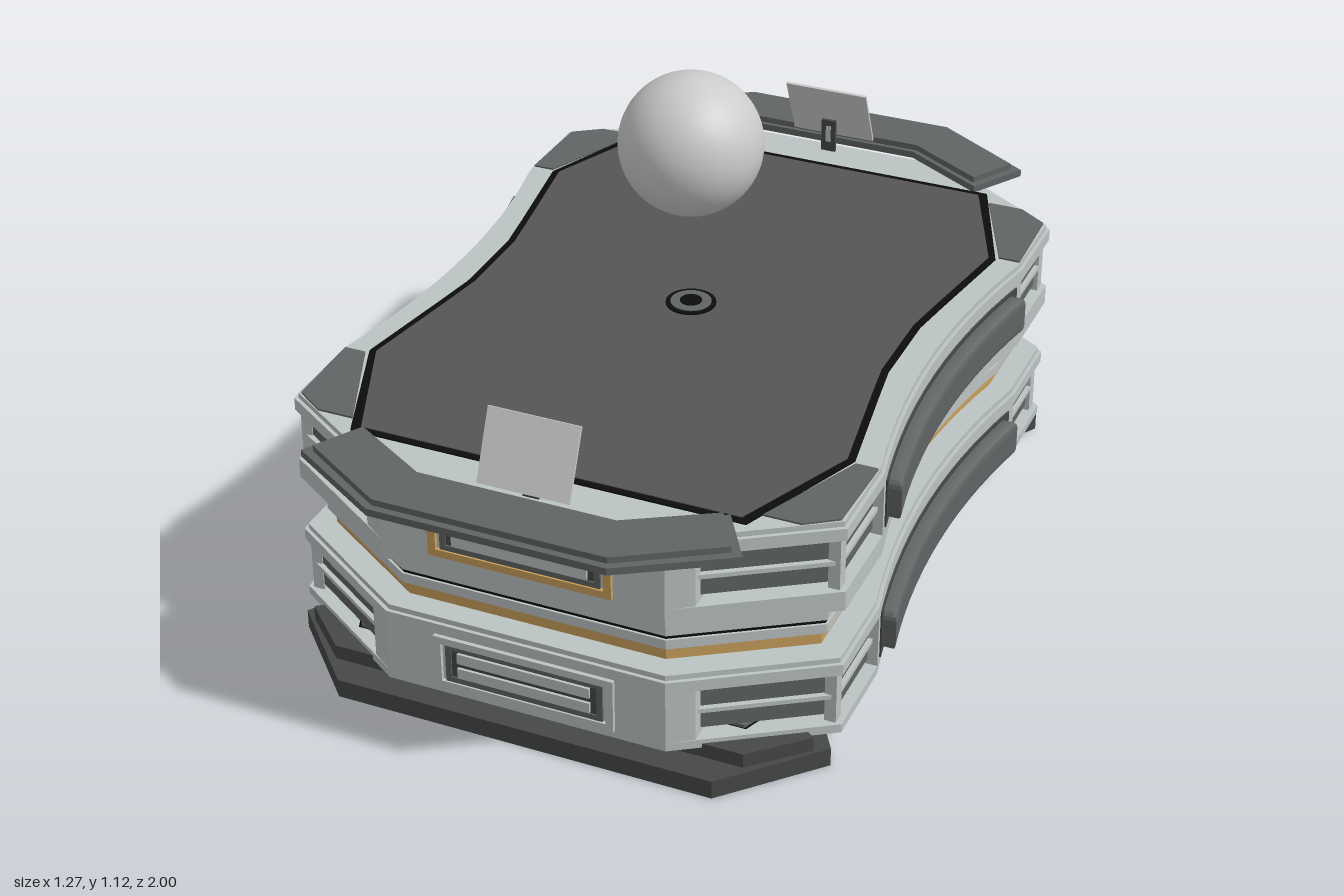
import * as THREE from 'three';

const mat = (color) => new THREE.MeshStandardMaterial({ color, side: THREE.DoubleSide });

export function createModel() {
  const model = new THREE.Group();
  const light = mat(0xbcc3c3), dark = mat(0x606464), deep = mat(0x464848);
  const gold = mat(0xcaa05c), black = mat(0x0c0c0c), panelGrey = mat(0x555555), grey = mat(0xcccccc);

  const add = (name, geometry, material, parent = model) => {
    const mesh = new THREE.Mesh(geometry, material);
    mesh.name = name;
    parent.add(mesh);
    return mesh;
  };
  const box = (name, w, h, d, x, y, z, material, parent) => {
    const mesh = add(name, new THREE.BoxGeometry(w, h, d), material, parent);
    mesh.position.set(x, y, z);
    return mesh;
  };
  const toShape = (pts) => new THREE.Shape(pts.map(([x, z]) => new THREE.Vector2(x, z)));

  // Horizontal slab from a plan outline of [x, z] points, between two heights
  const slab = (name, pts, y0, y1, material, { hole, bevel = 0, parent } = {}) => {
    const shape = toShape(pts);
    if (hole) shape.holes.push(new THREE.Path(hole.map(([x, z]) => new THREE.Vector2(x, z))));
    const g = new THREE.ExtrudeGeometry(shape, {
      depth: y1 - y0 - 2 * bevel, bevelEnabled: bevel > 0,
      bevelThickness: bevel, bevelSize: bevel, bevelOffset: -bevel, bevelSegments: 3,
    });
    g.rotateX(Math.PI / 2).translate(0, y1 - bevel, 0);
    return add(name, g, material, parent);
  };

  // Concave side line, and full outline mirrored from one quarter
  const sideX = (z) => 0.56 + 0.05 * (z / 0.45) ** 2;
  const sideLine = (zEnd, offset, n = 14) => Array.from({ length: n + 1 }, (_, i) => {
    const z = zEnd - (2 * zEnd * i) / n;
    return [sideX(z) + offset, z];
  });
  const mirrorX = (pts) => [...pts, ...pts.map(([x, z]) => [-x, z]).reverse()];
  const outline = (d) => mirrorX([
    [0.31 - 0.4 * d, 0.855 - d], [0.61 - d, 0.66 - 0.57 * d],
    ...sideLine(0.45, -d),
    [0.61 - d, -0.66 + 0.57 * d], [0.31 - 0.4 * d, -0.855 + d],
  ]);
  const panelOutline = (d) => mirrorX([
    [0.42 - d, 0.73 - d], [0.535 - d, 0.45], [0.495 - d, 0.2], [0.48 - d, 0.1],
    [0.48 - d, -0.1], [0.495 - d, -0.2], [0.535 - d, -0.45], [0.42 - d, -0.73 + d],
  ]);

  // Rectangular frame standing on an end face
  const frame = (name, w, h, rim, depth, y, z, material, parent) => {
    const rect = (a, b) => [[-a, -b], [a, -b], [a, b], [-a, b]];
    const s = toShape(rect(w / 2, h / 2));
    s.holes.push(toShape(rect(w / 2 - rim, h / 2 - rim)));
    const m = add(name, new THREE.ExtrudeGeometry(s, { depth, bevelEnabled: false }), material, parent);
    m.position.set(0, y, z);
  };

  // One armoured band: ledges, recessed corner vents, side pods and end grilles
  const band = (name, y0, v0, v1, y1, frameMat, hole) => {
    const g = new THREE.Group();
    g.name = name;
    model.add(g);
    const mid = (v0 + v1) / 2;
    slab('lowerLedge', outline(0), y0, v0, light, { hole, parent: g });
    slab('upperLedge', outline(0), v1, y1 - 0.012, light, { parent: g });
    slab('topRim', outline(0.008), y1 - 0.012, y1, light, { parent: g });
    slab('ventRecess', outline(0.045), v0, v1, dark, { parent: g });
    for (const o of [-0.027, 0.027])
      slab('ventLouvre', outline(0.022), mid + o - 0.021, mid + o + 0.021, dark, { parent: g });
    slab('ventSlat', outline(0.012), mid - 0.005, mid + 0.005, light, { parent: g });
    for (const s of [1, -1]) {
      slab('endBlock', [[-0.36, 0.82], [-0.31, 0.855], [0.31, 0.855], [0.36, 0.82], [0.36, 0.6], [-0.36, 0.6]]
        .map(([x, z]) => [x, z * s]), v0, v1, light, { parent: g });
      const flip = (pts) => pts.map(([x, z]) => [x * s, z]);
      const strip = (zEnd, out) => flip([...sideLine(zEnd, out), [0.5, -zEnd], [0.5, zEnd]]);
      slab('sideBlock', strip(0.45, 0), v0, v1, light, { parent: g });
      slab('podSurround', strip(0.425, 0.004), mid - 0.056, mid + 0.056, deep, { parent: g });
      slab('sidePod', strip(0.41, 0.033), mid - 0.047, mid + 0.047, dark, { bevel: 0.018, parent: g });
      for (const t of [1, -1])
        box('cornerPost', 0.025, v1 - v0, 0.03, 0.585 * s, mid, 0.645 * t, light, g);
      const end = new THREE.Group();
      end.name = 'endGrille';
      end.rotation.y = s > 0 ? 0 : Math.PI;
      g.add(end);
      frame('grilleFrame', 0.4, 0.125, 0.017, 0.014, mid, 0.85, frameMat, end);
      frame('grilleRim', 0.35, 0.092, 0.013, 0.01, mid, 0.85, dark, end);
      box('grilleBack', 0.34, 0.085, 0.004, 0, mid, 0.855, deep, end);
      for (const o of [-0.018, 0.018]) box('grilleSlat', 0.295, 0.024, 0.012, 0, mid + o, 0.857, light, end);
    }
  };
  band('lowerBand', 0.065, 0.085, 0.207, 0.245, light, panelOutline(-0.02));
  band('upperBand', 0.365, 0.41, 0.53, 0.57, gold);

  // Recessed underside
  slab('undersideFloor', panelOutline(-0.015), 0.082, 0.09, dark);
  slab('undersideBorder', panelOutline(-0.02), 0.079, 0.083, black, { hole: panelOutline(0.02) });

  // Layers of the waist between the bands
  slab('waistGoldLower', outline(0.06), 0.245, 0.28, gold);
  slab('waistTrimLower', outline(0.045), 0.28, 0.302, light);
  slab('waistGap', outline(0.05), 0.302, 0.312, black);
  slab('waistTrimUpper', outline(0.045), 0.312, 0.333, light);
  slab('waistGoldUpper', outline(0.06), 0.333, 0.365, gold);

  // Table top and its centre emitter
  slab('topBorder', panelOutline(-0.012), 0.565, 0.573, black);
  slab('topPanel', panelOutline(0.004), 0.568, 0.575, panelGrey);
  const ring = (name, r, h, material) => {
    add(name, new THREE.CylinderGeometry(r, r, h, 32), material).position.y = 0.575 + h / 2;
  };
  ring('emitterBase', 0.055, 0.004, black);
  ring('emitterRing', 0.045, 0.006, dark);
  ring('emitterLens', 0.024, 0.008, black);
  add('floatingSphere', new THREE.SphereGeometry(0.155, 48, 32), grey).position.y = 0.962;

  for (const s of [1, -1]) {
    const ends = (pts) => mirrorX(pts).map(([x, z]) => [x, z * s]);
    // Dark plates on the four corners of the top
    for (const t of [1, -1])
      slab('cornerPlate', [[0.45, 0.7], [0.53, 0.7], [0.595, 0.655], [0.6, 0.46], [0.552, 0.46]]
        .map(([x, z]) => [x * t, z * s]), 0.568, 0.574, dark);
    // Stepped C-shaped console shelf
    slab('shelfLower', ends([[0.21, 0.855], [0.4, 0.742], [0.475, 0.865], [0.255, 1.0]]), 0.57, 0.586, dark);
    slab('shelfUpper', ends([[0.215, 0.865], [0.392, 0.76], [0.45, 0.86], [0.25, 0.985]]), 0.586, 0.6, dark);
    // Feet
    slab('foot', ends([[0.57, 0.64], [0.6, 0.69], [0.42, 0.88]]), 0, 0.042, deep);
    slab('footRiser', ends([[0.55, 0.695], [0.57, 0.71], [0.46, 0.815]]), 0.042, 0.075, deep);

    // Leaning screen with its strut
    const console_ = new THREE.Group();
    console_.name = 'consoleScreen';
    console_.rotation.y = s > 0 ? 0 : Math.PI;
    model.add(console_);
    const x = 0.01 * s;
    box('screen', 0.2, 0.155, 0.006, x, 0.67, 0.82, grey, console_).rotation.x = -0.405;
    box('screenStrut', 0.035, 0.08, 0.008, x, 0.61, 0.815, deep, console_);
    box('screenStrutInset', 0.012, 0.04, 0.012, x, 0.615, 0.815, light, console_);
  }
  return model;
}
